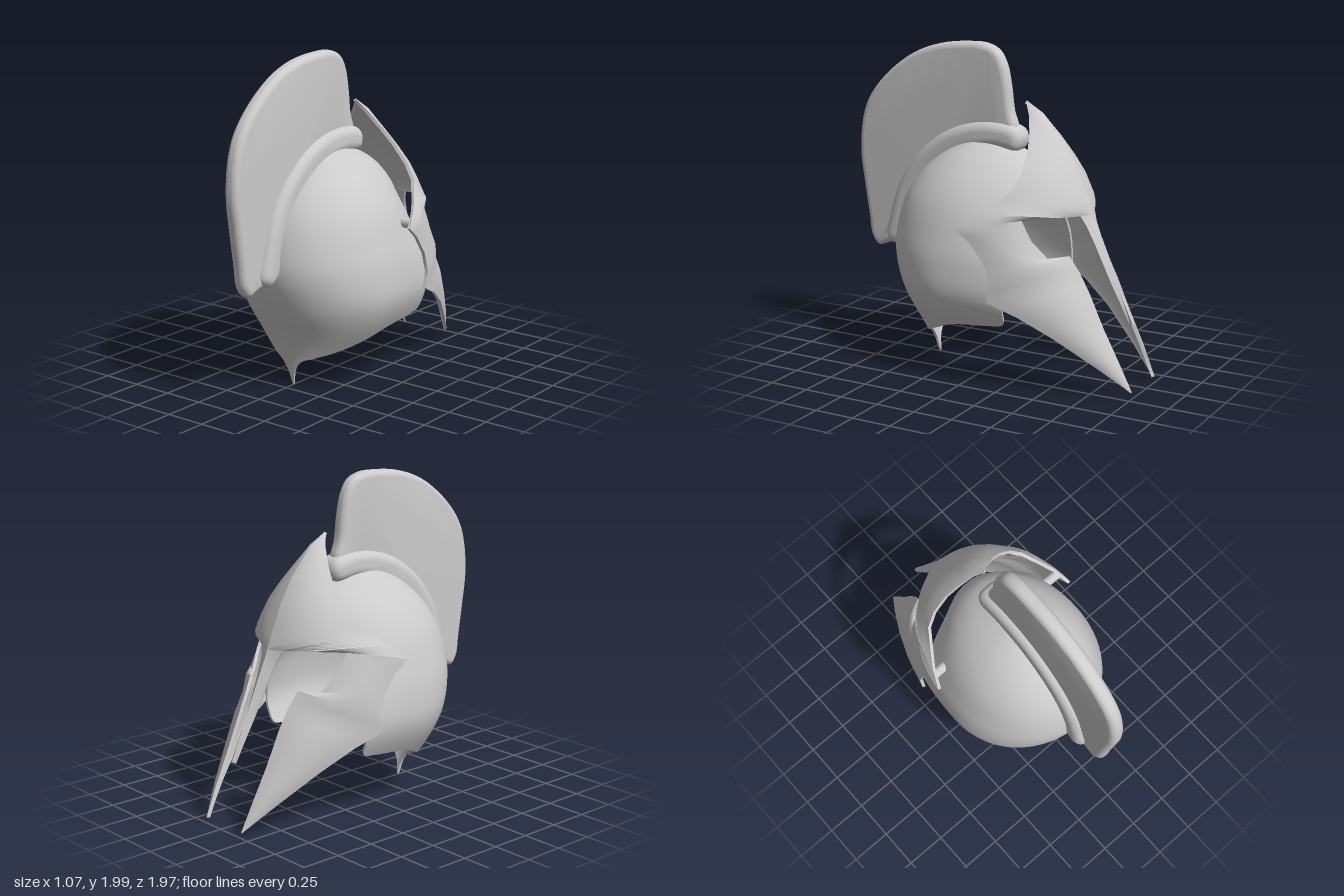
import * as THREE from 'three';
import { toCreasedNormals } from 'three/addons/utils/BufferGeometryUtils.js';

const V = (x, y, z) => new THREE.Vector3(x, y, z);
const material = new THREE.MeshStandardMaterial({ color: 0xcccccc, side: THREE.DoubleSide });

// Turns rows of points into a plate of the given thickness, closed along its border.
function plate(rows, thickness, crease) {
  const nr = rows.length, nc = rows[0].length, count = nr * nc;
  const outer = rows.flat();
  const index = [];
  for (let i = 0; i < nr - 1; i++) {
    for (let j = 0; j < nc - 1; j++) {
      const a = i * nc + j, b = a + 1, c = a + nc, d = c + 1;
      index.push(a, b, c, b, d, c);
    }
  }
  const skin = new THREE.BufferGeometry().setFromPoints(outer);
  skin.setIndex(index);
  skin.computeVertexNormals();
  const normal = skin.attributes.normal;
  const inner = outer.map((p, k) =>
    p.clone().addScaledVector(V().fromBufferAttribute(normal, k), -thickness));

  const all = [...index];
  for (let k = 0; k < index.length; k += 3) {
    all.push(index[k] + count, index[k + 2] + count, index[k + 1] + count);
  }
  const border = [];
  for (let j = 0; j < nc - 1; j++) border.push(j);
  for (let i = 0; i < nr - 1; i++) border.push(i * nc + nc - 1);
  for (let j = nc - 1; j > 0; j--) border.push((nr - 1) * nc + j);
  for (let i = nr - 1; i > 0; i--) border.push(i * nc);
  border.forEach((a, k) => {
    const b = border[(k + 1) % border.length];
    all.push(a, a + count, b, b, a + count, b + count);
  });
  const geometry = new THREE.BufferGeometry().setFromPoints([...outer, ...inner]);
  geometry.setIndex(all);
  return toCreasedNormals(geometry, crease);
}

// Open dome: half-width, back depth and front depth from crown to neck, cut off at a rim.
function bowlGeometry() {
  const top = 1.43, centreZ = 0.1;
  const profile = new THREE.CatmullRomCurve3([
    V(0, 0, 0), V(0.065, 0.09, 0.13), V(0.14, 0.18, 0.25), V(0.235, 0.29, 0.37),
    V(0.33, 0.4, 0.45), V(0.41, 0.49, 0.5), V(0.465, 0.545, 0.62), V(0.507, 0.56, 0.85),
    V(0.5, 0.5, 1.05), V(0.36, 0.39, 1.1), V(0.1, 0.33, 1.1),
  ], false, 'catmullrom');
  // Rim height against angle, from the neck spike round to the brow
  const rim = [[0, 0.01], [3, 0.03], [7, 0.1], [16, 0.17], [30, 0.2], [50, 0.24], [75, 0.31],
    [95, 0.37], [104, 0.385], [109, 0.4], [110.5, 0.48], [112, 0.6], [120, 0.82],
    [134, 1.0], [150, 1.12], [180, 1.2]];
  const half = new THREE.CatmullRomCurve3(rim.map(([a, y]) => V(a / 100, y, 0))).getPoints(75);
  const around = [...half].reverse().map((p) => [p.x, p.y])
    .concat(half.slice(1).map((p) => [-p.x, p.y]));
  const rows = [];
  for (let i = 0; i <= 48; i++) {
    const t = i / 48;
    rows.push(around.map(([a, rimY]) => {
      const angle = THREE.MathUtils.degToRad(a * 100);
      const drop = (top - rimY) * t * t;
      const p = profile.getPoint(Math.sqrt(drop / top));
      const cos = Math.cos(angle);
      return V(p.x * Math.sin(angle), top - drop, centreZ + cos * (cos > 0 ? p.y : p.z));
    }));
  }
  return plate(rows, 0.015, 0.8);
}

// Rounded slab whose outline is given as [z, y] points.
function slab(points, halfWidth, bevel) {
  const curve = new THREE.CatmullRomCurve3(points.map(([z, y]) => V(z, y, 0)), true);
  const shape = new THREE.Shape(curve.getPoints(110).slice(0, -1)
    .map((p) => new THREE.Vector2(p.x, p.y)));
  const depth = 2 * (halfWidth - bevel);
  const geometry = new THREE.ExtrudeGeometry(shape, {
    depth, bevelEnabled: true, bevelThickness: bevel, bevelSize: bevel,
    bevelOffset: -bevel, bevelSegments: 6,
  });
  geometry.translate(0, 0, -depth / 2).rotateY(-Math.PI / 2);
  return toCreasedNormals(geometry, 0.7);
}

// Plate spanning a list of ribs [start, end, bulge], mirrored when side is -1.
function ribbed(ribs, side, steps, thickness) {
  const rows = [];
  const rib = ([a, b, bulge]) => {
    const row = [];
    for (let j = 0; j <= steps; j++) {
      const t = j / steps, k = 4 * t * (1 - t) * bulge;
      const p = V(...a).lerp(V(...b), t).add(V(0.7 * k, 0.3 * k, -0.7 * k));
      row.push(V(p.x * side, p.y, p.z));
    }
    return side > 0 ? row : row.reverse();
  };
  const list = ribs.map(rib);
  for (let i = 0; i < list.length - 1; i++) {
    for (const t of [0, 0.5]) rows.push(list[i].map((p, j) => p.clone().lerp(list[i + 1][j], t)));
  }
  rows.push(list[list.length - 1]);
  return plate(rows, thickness, 0.5);
}

export function createModel() {
  const model = new THREE.Group();
  const add = (name, geometry) => {
    const mesh = new THREE.Mesh(geometry, material);
    mesh.name = name;
    model.add(mesh);
    return mesh;
  };

  add('bowl', bowlGeometry());

  // Tall crest fin and the wider band it sits in
  add('crest', slab([
    [-0.1, 1.42], [-0.13, 1.5], [-0.1, 1.6], [-0.08, 1.75], [-0.05, 1.88], [0, 1.96],
    [0.08, 1.995], [0.18, 2], [0.4, 1.975], [0.6, 1.9], [0.8, 1.75], [0.92, 1.6], [0.97, 1.45],
    [0.985, 1.25], [0.96, 1.05], [0.93, 0.85], [0.91, 0.72], [0.86, 0.66], [0.78, 0.685],
    [0.7, 0.7], [0.62, 0.85], [0.52, 1.1], [0.28, 1.32], [0.05, 1.4],
  ], 0.048, 0.04));
  add('crestBand', slab([
    [-0.15, 1.37], [-0.18, 1.44], [-0.15, 1.5], [0.05, 1.53], [0.3, 1.47], [0.53, 1.31],
    [0.68, 1.1], [0.755, 0.88], [0.78, 0.74], [0.72, 0.69], [0.63, 0.75], [0.6, 0.9],
    [0.48, 1.12], [0.26, 1.3], [0.03, 1.37],
  ], 0.09, 0.06));

  // Face mask: brow, eye opening and long cheek guard, rib by rib
  const maskRibs = [
    [[0, 1.67, -0.19], [0.005, 1.665, -0.185], 0],
    [[0, 1.6, -0.3], [0.06, 1.59, -0.235], 0.01],
    [[0, 1.43, -0.445], [0.13, 1.5, -0.275], 0.02],
    [[0, 1.28, -0.535], [0.21, 1.4, -0.305], 0.035],
    [[0, 1.15, -0.59], [0.3, 1.29, -0.31], 0.055],
    [[0, 1.03, -0.635], [0.37, 1.2, -0.285], 0.07],
    [[0.08, 1.03, -0.605], [0.43, 1.13, -0.2], 0.08],
    [[0.25, 1.045, -0.52], [0.49, 1.06, -0.11], 0.06],
    [[0.385, 1.04, -0.36], [0.535, 0.97, -0.01], 0.04],
    [[0.37, 0.92, -0.42], [0.525, 0.9, -0.1], 0.04],
    [[0.32, 0.815, -0.5], [0.52, 0.78, -0.19], 0.05],
    [[0.22, 0.82, -0.59], [0.525, 0.66, -0.22], 0.07],
    [[0.2, 0.72, -0.65], [0.525, 0.56, -0.2], 0.07],
    [[0.19, 0.6, -0.71], [0.47, 0.48, -0.38], 0.06],
    [[0.185, 0.4, -0.8], [0.39, 0.36, -0.57], 0.04],
    [[0.175, 0.2, -0.9], [0.27, 0.18, -0.8], 0.02],
    [[0.165, 0.03, -0.98], [0.17, 0.03, -0.975], 0],
  ];
  // Nose guard, folded along the centre
  const noseRibs = [
    [[0, 1.06, -0.625], [0.1, 1.04, -0.595], 0],
    [[0, 0.98, -0.655], [0.07, 0.97, -0.625], 0],
    [[0, 0.88, -0.7], [0.055, 0.87, -0.67], 0],
    [[0, 0.65, -0.8], [0.035, 0.64, -0.77], 0],
    [[0, 0.4, -0.91], [0.008, 0.39, -0.885], 0],
  ];
  for (const [name, side] of [['left', 1], ['right', -1]]) {
    add(name + 'Mask', ribbed(maskRibs, side, 8, 0.02));
    add(name + 'NoseGuard', ribbed(noseRibs, side, 2, 0.015));
    // Hinge peg between bowl and mask
    const peg = add(name + 'HingePeg', new THREE.CylinderGeometry(0.03, 0.03, 0.12, 20));
    peg.rotation.z = Math.PI / 2;
    peg.position.set(side * 0.45, 0.975, -0.1);
  }
  return model;
}
